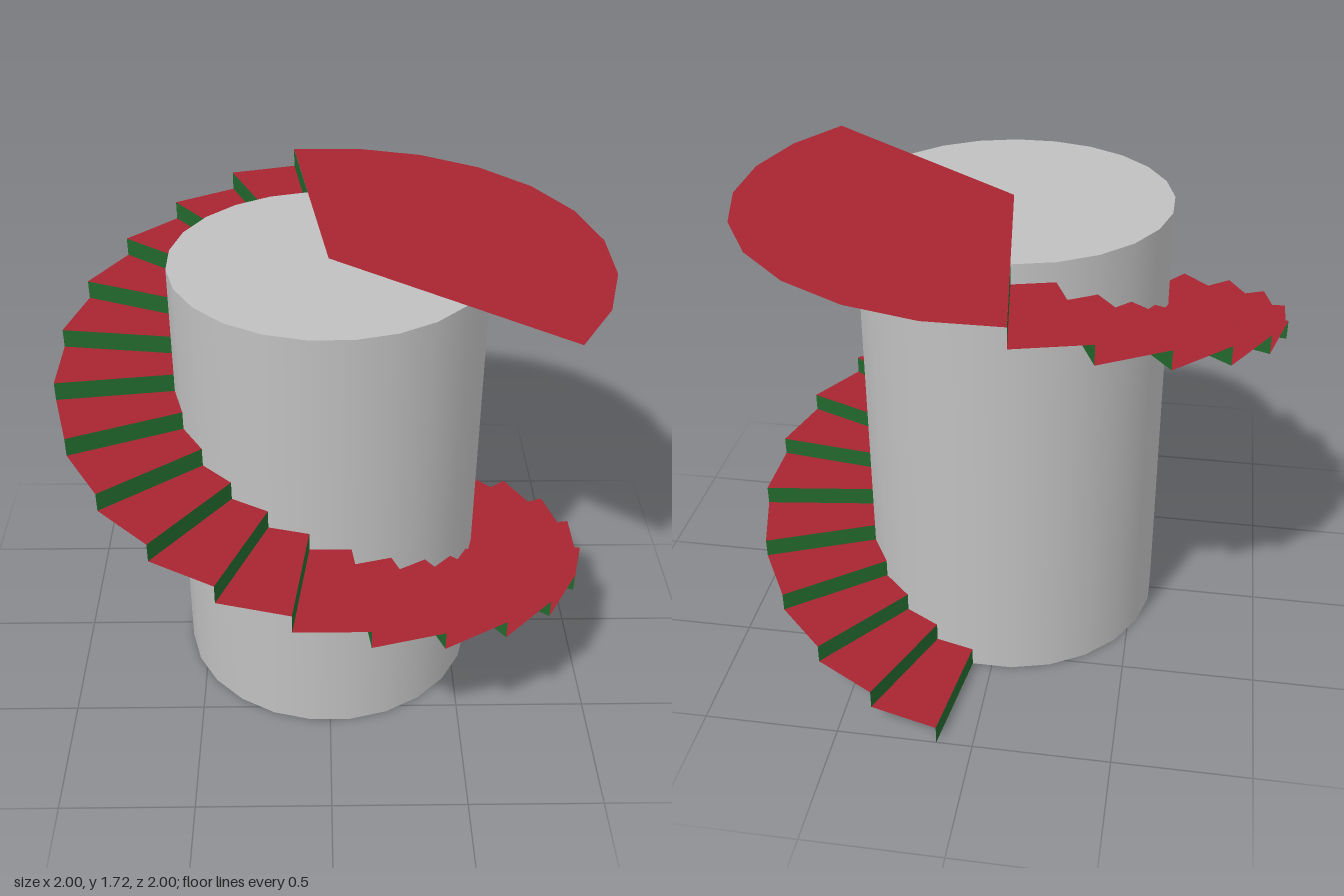
import * as THREE from 'three';

const STEPS = 24;
const HEIGHT = 1.715;
const RISE = HEIGHT / STEPS;
const TURN = Math.PI / 12;
const START = TURN / 2;
const OUTER = 1 / Math.cos(TURN / 2);
const INNER = 0.575;
const LANDING_SECTORS = 9;

// Point on the stair: angle runs from the back (-z) towards +x
function point(radius, step, y) {
  const a = START + step * TURN;
  return [radius * Math.sin(a), y, -radius * Math.cos(a)];
}

// Flat polygon as a fan around its first corner
function panel(corners, material, name) {
  const positions = [];
  for (let i = 1; i < corners.length - 1; i++) {
    positions.push(...corners[0], ...corners[i], ...corners[i + 1]);
  }
  const geometry = new THREE.BufferGeometry();
  geometry.setAttribute('position', new THREE.Float32BufferAttribute(positions, 3));
  geometry.computeVertexNormals();
  const mesh = new THREE.Mesh(geometry, material);
  mesh.name = name;
  return mesh;
}

export function createModel() {
  const model = new THREE.Group();
  model.name = 'spiralStaircase';

  const columnGrey = new THREE.MeshStandardMaterial({ color: 0xc0c0c0 });
  columnGrey.name = 'columnGrey';
  const treadRed = new THREE.MeshStandardMaterial({ color: 0xa82530, side: THREE.DoubleSide });
  treadRed.name = 'treadRed';
  const riserGreen = new THREE.MeshStandardMaterial({ color: 0x22682d, side: THREE.DoubleSide });
  riserGreen.name = 'riserGreen';

  // Central column, its facets lined up with the steps
  const column = new THREE.Mesh(
    new THREE.CylinderGeometry(INNER, INNER, HEIGHT, STEPS, 1, false, START), columnGrey);
  column.name = 'column';
  column.position.y = HEIGHT / 2;
  model.add(column);

  // One riser per step, with a tread on all but the last
  for (let k = 0; k < STEPS; k++) {
    const low = k * RISE;
    const high = low + RISE;
    model.add(panel([
      point(OUTER, k, low), point(INNER, k, low),
      point(INNER, k, high), point(OUTER, k, high),
    ], riserGreen, `riser${k + 1}`));
    if (k < STEPS - 1) {
      model.add(panel([
        point(INNER, k, high), point(INNER, k + 1, high),
        point(OUTER, k + 1, high), point(OUTER, k, high),
      ], treadRed, `tread${k + 1}`));
    }
  }

  // Top landing: a wide sector reaching the centre, just clear of the column top
  const top = HEIGHT + 0.002;
  const landing = [[0, top, 0]];
  for (let i = LANDING_SECTORS; i >= 0; i--) landing.push(point(OUTER, STEPS - 1 + i, top));
  model.add(panel(landing, treadRed, 'landing'));

  return model;
}
